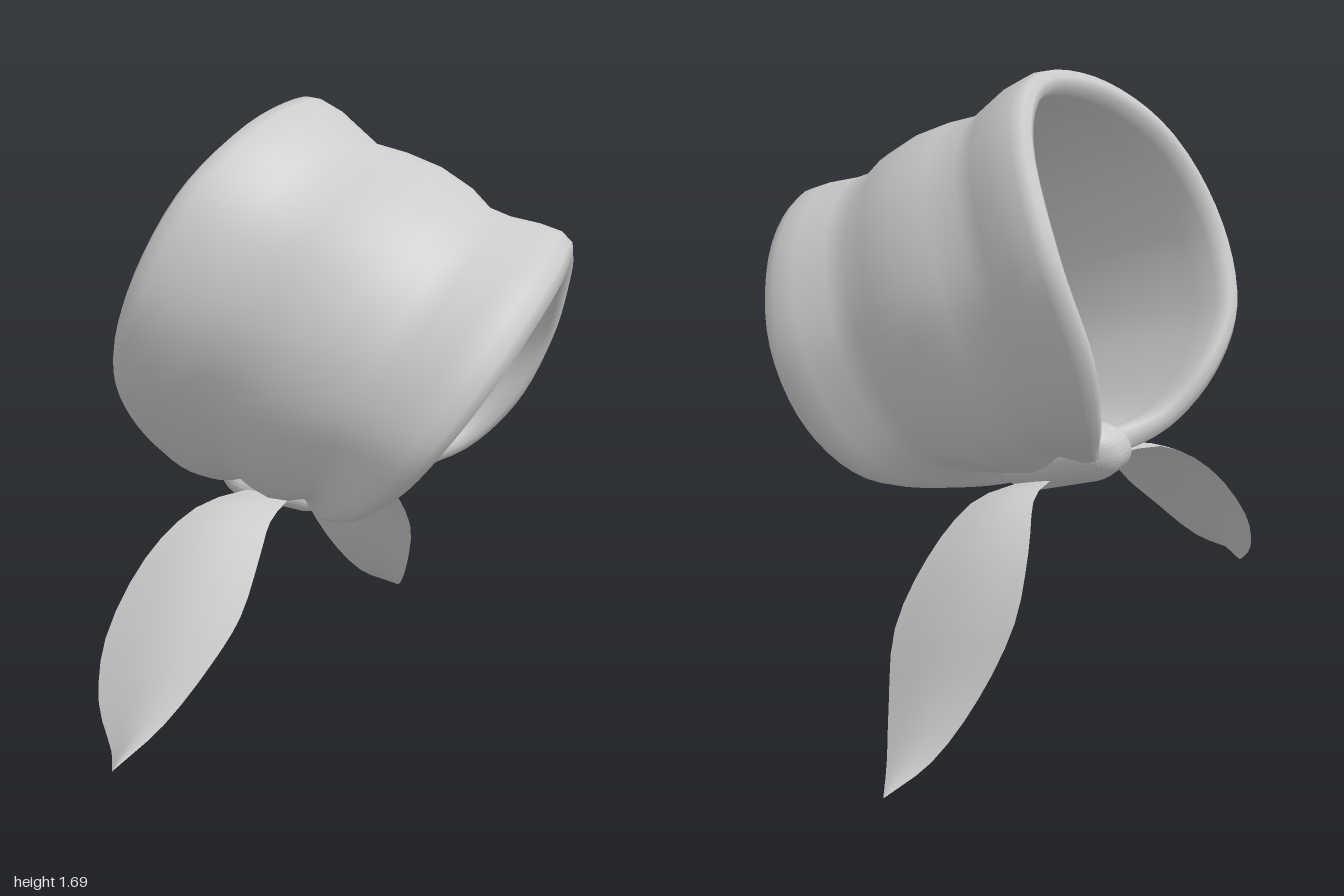
import * as THREE from 'three';
import { RoundedBoxGeometry } from 'three/addons/geometries/RoundedBoxGeometry.js';

const V = (p) => new THREE.Vector3(...p);
const cloth = new THREE.MeshStandardMaterial({ color: 0xcccccc, side: THREE.DoubleSide });

function gridGeometry(points, rows, cols, closed) {
  const index = [];
  const rEnd = closed ? rows : rows - 1, cEnd = closed ? cols : cols - 1;
  for (let i = 0; i < rEnd; i++) {
    for (let j = 0; j < cEnd; j++) {
      const i2 = (i + 1) % rows, j2 = (j + 1) % cols;
      const a = i * cols + j, b = i2 * cols + j, c = i2 * cols + j2, d = i * cols + j2;
      index.push(a, b, d, b, c, d);
    }
  }
  const g = new THREE.BufferGeometry().setFromPoints(points);
  g.setIndex(index);
  g.computeVertexNormals();
  return g;
}

function part(name, geometry) {
  const mesh = new THREE.Mesh(geometry, cloth);
  mesh.name = name;
  return mesh;
}

// Rim loops of the wrapped band, both running top, front, bottom, back
const leftRim = [
  [-0.15, 1.7, -0.06], [-0.26, 1.665, 0.17], [-0.4, 1.52, 0.35], [-0.525, 1.27, 0.425],
  [-0.585, 1.04, 0.37], [-0.545, 0.86, 0.27], [-0.44, 0.72, 0.16], [-0.34, 0.675, 0.05],
  [-0.32, 0.675, -0.08], [-0.34, 0.7, -0.21], [-0.39, 0.8, -0.41], [-0.4, 0.98, -0.545],
  [-0.32, 1.26, -0.61], [-0.19, 1.57, -0.42],
];
const rightRim = [
  [0.585, 1.335, -0.02], [0.565, 1.31, 0.2], [0.5, 1.22, 0.38], [0.4, 1.08, 0.52],
  [0.28, 0.92, 0.58], [0.17, 0.78, 0.54], [0.06, 0.68, 0.44], [-0.06, 0.625, 0.22],
  [-0.07, 0.595, 0], [0.08, 0.595, -0.2], [0.26, 0.635, -0.37], [0.4, 0.77, -0.435],
  [0.505, 0.98, -0.425], [0.565, 1.2, -0.28],
];
// Cloth section: [position from rim to rim, inward depth], with rolled hems and two soft folds
const section = [
  [0, 0.035], [0.012, 0.01], [0.05, 0], [0.13, 0.002], [0.21, 0.018], [0.28, 0.032],
  [0.38, 0.014], [0.5, 0.004], [0.62, 0.014], [0.7, 0.036], [0.77, 0.03], [0.87, 0.008],
  [0.94, 0], [0.985, 0.012], [1.01, 0.045], [0.995, 0.078], [0.95, 0.088], [0.88, 0.078],
  [0.8, 0.062], [0.5, 0.052], [0.2, 0.055], [0.12, 0.064], [0.05, 0.07], [0.012, 0.06],
];

function bandGeometry() {
  const loops = [leftRim, rightRim].map((r) => new THREE.CatmullRomCurve3(r.map(V), true));
  const centres = [leftRim, rightRim].map((r) =>
    r.reduce((s, p) => s.add(V(p)), new THREE.Vector3()).divideScalar(r.length));
  const N = 70, pts = [];
  for (let i = 0; i < N; i++) {
    const [l, r] = loops.map((c) => c.getPoint(i / N));
    const across = r.clone().sub(l).normalize();
    for (const [u, d] of section) {
      const p = l.clone().lerp(r, u);
      const inward = centres[0].clone().lerp(centres[1], u).sub(p);
      inward.addScaledVector(across, -inward.dot(across)).normalize();
      pts.push(p.addScaledVector(inward, d));
    }
  }
  return gridGeometry(pts, N, section.length, true);
}

// Leaf-shaped ribbon between two edges, arched across its width
function tailGeometry(edgeA, edgeB, arch) {
  const [a, b] = [edgeA, edgeB].map((e) => new THREE.CatmullRomCurve3(e.map(V)));
  const rows = 19, cols = 7, pts = [];
  for (let i = 0; i < rows; i++) {
    const t = i / (rows - 1), p = a.getPoint(t), q = b.getPoint(t);
    for (let j = 0; j < cols; j++) {
      const s = j / (cols - 1);
      const m = p.clone().lerp(q, s);
      m.y += arch * Math.sin(Math.PI * s) * Math.sin(Math.PI * t);
      pts.push(m);
    }
  }
  return gridGeometry(pts, rows, cols, false);
}

export function createModel() {
  const model = new THREE.Group();
  model.name = 'knottedKerchief';

  model.add(part('wrappedBand', bandGeometry()));

  // Tails hanging to the front and to the back
  model.add(part('frontTail', tailGeometry(
    [[-0.24, 0.64, 0.02], [-0.38, 0.655, 0.28], [-0.48, 0.57, 0.45], [-0.55, 0.41, 0.62],
      [-0.54, 0.29, 0.75], [-0.48, 0.22, 0.88], [-0.45, 0.22, 1]],
    [[-0.16, 0.62, 0.02], [-0.18, 0.63, 0.3], [-0.18, 0.59, 0.46], [-0.2, 0.49, 0.63],
      [-0.25, 0.41, 0.74], [-0.35, 0.29, 0.87], [-0.45, 0.22, 1]], 0.035)));
  model.add(part('backTail', tailGeometry(
    [[-0.1, 0.61, -0.1], [-0.03, 0.59, -0.34], [0.03, 0.48, -0.515], [0.078, 0.32, -0.63],
      [0.055, 0.155, -0.745], [0.02, 0.05, -0.86], [-0.02, 0, -1]],
    [[-0.18, 0.62, -0.1], [-0.22, 0.62, -0.42], [-0.26, 0.53, -0.6], [-0.265, 0.38, -0.735],
      [-0.2, 0.21, -0.82], [-0.11, 0.07, -0.91], [-0.02, 0, -1]], 0.025)));

  // Knot gripping the gathered bottom: wide and set forward below, narrower above
  const knot = new RoundedBoxGeometry(0.33, 0.17, 0.25, 5, 0.08);
  const pos = knot.attributes.position;
  for (let i = 0; i < pos.count; i++) {
    const y = pos.getY(i);
    pos.setZ(i, pos.getZ(i) * (1 - 1.6 * y) - 0.45 * y);
    pos.setY(i, y * (1 - Math.abs(pos.getX(i))));
  }
  knot.computeVertexNormals();
  const knotMesh = part('knot', knot);
  knotMesh.position.set(-0.2, 0.675, -0.05);
  knotMesh.rotation.z = -0.2;
  model.add(knotMesh);

  return model;
}
